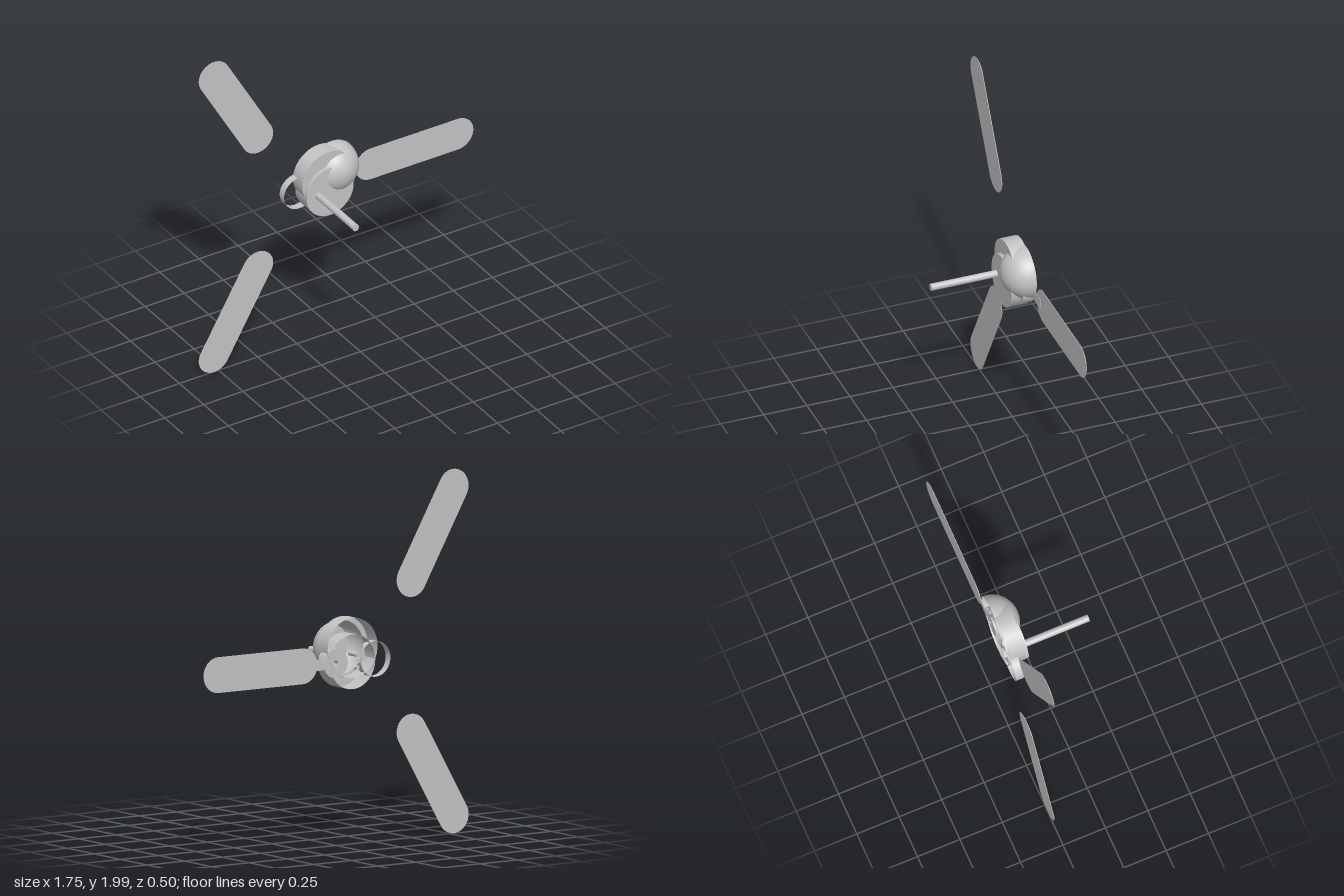
import * as THREE from 'three';

const BACK = -0.25;

export function createModel() {
  const group = new THREE.Group();
  const grey = new THREE.MeshStandardMaterial({ color: 0xc4c4c4, side: THREE.DoubleSide });
  grey.name = 'grey';

  function add(name, geometry, x, y, z, parent = group) {
    const mesh = new THREE.Mesh(geometry, grey);
    mesh.name = name;
    mesh.position.set(x, y, z);
    parent.add(mesh);
    return mesh;
  }

  // Cylinder running along z from z0 to z1
  function barrel(name, r, x, y, z0, z1, open = false, parent = group) {
    const g = new THREE.CylinderGeometry(r, r, z1 - z0, 48, 1, open).rotateX(Math.PI / 2);
    return add(name, g, x, y, (z0 + z1) / 2, parent);
  }

  // Thin shell with a flat front and an open back
  function cup(name, r, x, y, front) {
    const shell = new THREE.Group();
    shell.name = name;
    barrel(name + 'Wall', r, x, y, BACK, front, true, shell);
    add(name + 'Face', new THREE.CircleGeometry(r, 48), x, y, front, shell);
    group.add(shell);
  }

  // Blades: flat plates with round ends
  const r = 0.098, half = 0.278;
  const outline = new THREE.Shape();
  outline.absarc(half, 0, r, -Math.PI / 2, Math.PI / 2);
  outline.absarc(-half, 0, r, Math.PI / 2, Math.PI * 1.5);
  outline.closePath();
  const bladeGeometry = new THREE.ExtrudeGeometry(outline, {
    depth: 0.003, bevelEnabled: false, curveSegments: 24,
  });
  [
    ['rightBlade', 0.499, 1.003, 0],
    ['upperBlade', -0.64, 1.66, Math.PI * 2 / 3],
    ['lowerBlade', -0.64, 0.343, -Math.PI * 2 / 3],
  ].forEach(([name, x, y, angle]) => {
    add(name, bladeGeometry, x, y, BACK).rotation.z = angle;
  });

  // Housing shells and the lamp dome
  cup('upperHousing', 0.165, -0.11, 1.075, -0.155);
  cup('lowerHousing', 0.15, -0.11, 1.0, -0.133);
  const dome = new THREE.SphereGeometry(0.15, 48, 20, 0, Math.PI * 2, 0, Math.PI / 2);
  add('lampDome', dome.rotateX(Math.PI / 2), -0.03, 1.085, BACK);

  // Open ring beside the housing
  barrel('trimRing', 0.098, -0.262, 1.003, BACK, -0.205, true);

  // Hanging rod
  barrel('rod', 0.02, -0.185, 1.0, -0.14, 0.25);

  // Motor hub with a shaft hole, open toward the back
  const hub = new THREE.Shape();
  hub.absarc(0, 0, 0.08, 0, Math.PI * 2);
  const hole = new THREE.Path();
  hole.absarc(0, 0, 0.016, 0, Math.PI * 2, true);
  hub.holes.push(hole);
  add('motorHub', new THREE.ExtrudeGeometry(hub, {
    depth: 0.06, bevelEnabled: false, curveSegments: 24,
  }), 0, 1.0, -0.248);

  // Bracket joining the hub to the right blade
  add('bladeBracket', new THREE.BoxGeometry(0.14, 0.06, 0.004), 0.11, 1.0, -0.247);

  // Small fittings inside the housing
  for (const dy of [-0.035, 0, 0.035]) {
    barrel('fitting', 0.013, -0.165 + Math.abs(dy) * 0.5, 1.0 + dy, -0.245, -0.17);
  }
  return group;
}
